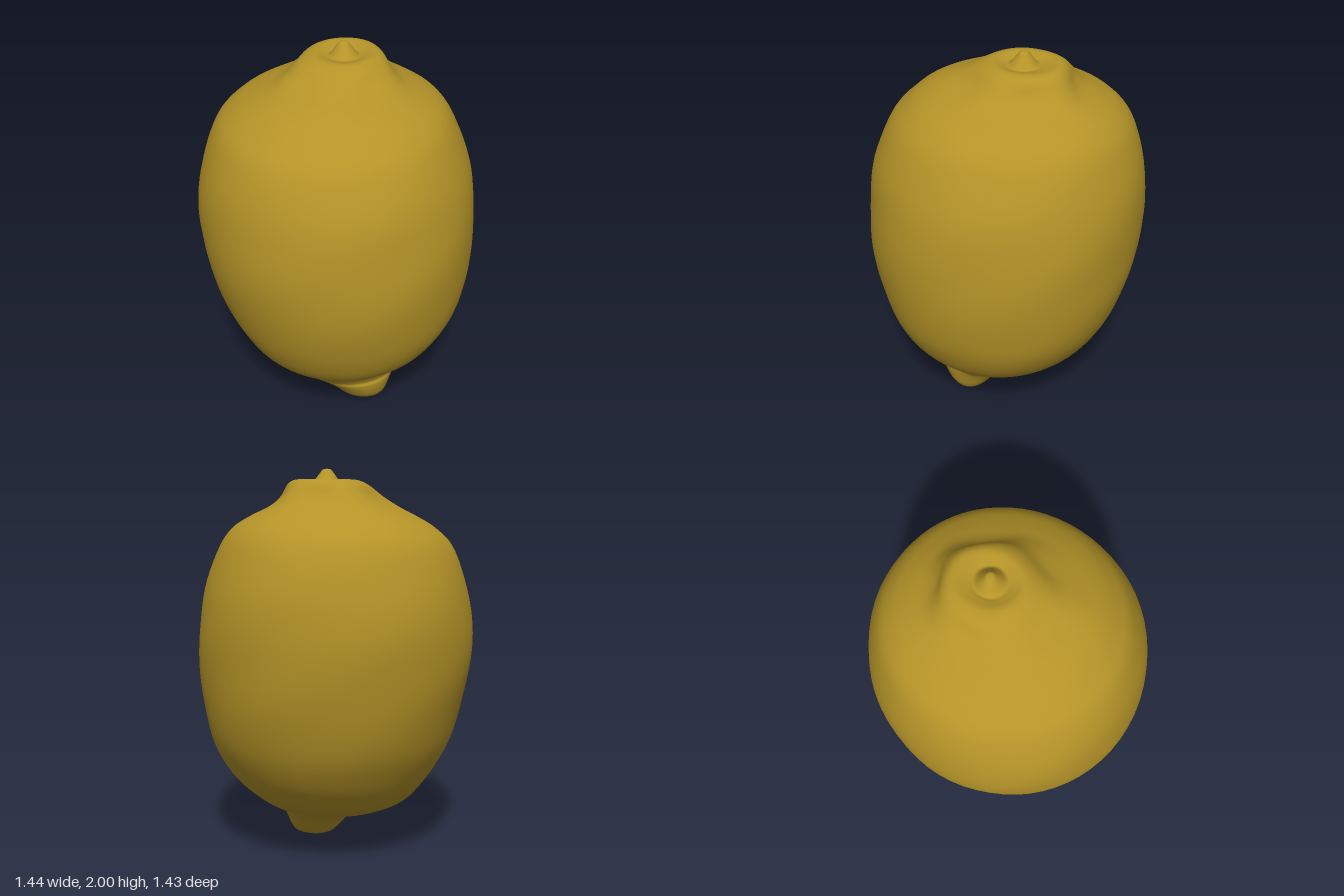
import * as THREE from 'three';

const SEGMENTS = 64, ROWS = 110;

// Cross-sections of the fruit from tip to crown: [y, xMin, xMax, zMin, zMax]
const sections = [
  [0.0, 0.165, 0.175, 0.125, 0.135],
  [0.02, 0.08, 0.27, 0.06, 0.21],
  [0.06, 0.03, 0.305, 0.02, 0.26],
  [0.12, -0.03, 0.325, -0.03, 0.30],
  [0.17, -0.13, 0.34, -0.10, 0.33],
  [0.20, -0.24, 0.355, -0.20, 0.345],
  [0.27, -0.38, 0.41, -0.36, 0.41],
  [0.35, -0.46, 0.51, -0.45, 0.50],
  [0.45, -0.53, 0.59, -0.53, 0.57],
  [0.6, -0.61, 0.66, -0.61, 0.635],
  [0.8, -0.67, 0.70, -0.67, 0.69],
  [1.0, -0.71, 0.715, -0.70, 0.715],
  [1.2, -0.72, 0.705, -0.71, 0.71],
  [1.4, -0.69, 0.67, -0.69, 0.68],
  [1.6, -0.62, 0.59, -0.63, 0.60],
  [1.7, -0.53, 0.52, -0.56, 0.51],
  [1.76, -0.43, 0.43, -0.48, 0.44],
  [1.81, -0.33, 0.33, -0.40, 0.35],
  [1.86, -0.26, 0.26, -0.35, 0.23],
  [1.92, -0.20, 0.21, -0.31, 0.13],
  [1.945, -0.14, 0.16, -0.27, 0.07],
  [1.935, -0.09, 0.11, -0.20, 0.02],
  [1.93, -0.065, 0.085, -0.165, -0.015],
  [1.97, -0.035, 0.05, -0.13, -0.05],
  [1.995, -0.015, 0.03, -0.11, -0.07],
  [2.0, 0.005, 0.01, -0.0925, -0.0875],
];

// Smooth interpolation between neighbouring cross-sections
function sectionAt(t) {
  const f = t * (sections.length - 1);
  const i = Math.min(Math.floor(f), sections.length - 2), u = f - i;
  const at = (k) => sections[Math.max(0, Math.min(sections.length - 1, k))];
  return sections[i].map((b, c) => {
    const a = at(i - 1)[c], d = at(i + 1)[c], e = at(i + 2)[c];
    return b + 0.5 * u * (d - a + u * (2 * a - 5 * b + 4 * d - e + u * (3 * (b - d) + e - a)));
  });
}

function fruitGeometry() {
  const positions = [], index = [];
  for (let r = 0; r <= ROWS; r++) {
    const [y, x0, x1, z0, z1] = sectionAt(r / ROWS);
    const crown = Math.exp(-(((y - 1.86) / 0.06) ** 2));
    const body = Math.max(0, Math.sin(Math.PI * y / 2));
    for (let s = 0; s < SEGMENTS; s++) {
      const a = s / SEGMENTS * Math.PI * 2;
      // Uneven peel, with stronger puckers around the crown
      const k = 1 + 0.006 * body * Math.sin(3 * a + 5 * y) * Math.sin(7 * y + 2 * a)
        + 0.045 * crown * Math.sin(5 * a + 1);
      positions.push(
        (x0 + x1) / 2 + (x1 - x0) / 2 * k * Math.cos(a),
        Math.min(2, Math.max(0, y)),
        (z0 + z1) / 2 + (z1 - z0) / 2 * k * Math.sin(a));
      if (r < ROWS) {
        const p = r * SEGMENTS + s, q = r * SEGMENTS + (s + 1) % SEGMENTS;
        index.push(p, p + SEGMENTS, q, q, p + SEGMENTS, q + SEGMENTS);
      }
    }
  }
  // Close both ends
  const top = ROWS * SEGMENTS;
  for (let s = 1; s < SEGMENTS - 1; s++) {
    index.push(0, s, s + 1, top, top + s + 1, top + s);
  }
  const g = new THREE.BufferGeometry();
  g.setAttribute('position', new THREE.Float32BufferAttribute(positions, 3));
  g.setIndex(index);
  g.computeVertexNormals();
  return g;
}

export function createModel() {
  const group = new THREE.Group();
  group.name = 'lemon';
  const peel = new THREE.MeshStandardMaterial({ color: 0xb59428 });
  peel.name = 'lemon peel yellow';
  const fruit = new THREE.Mesh(fruitGeometry(), peel);
  fruit.name = 'fruit';
  group.add(fruit);
  return group;
}
